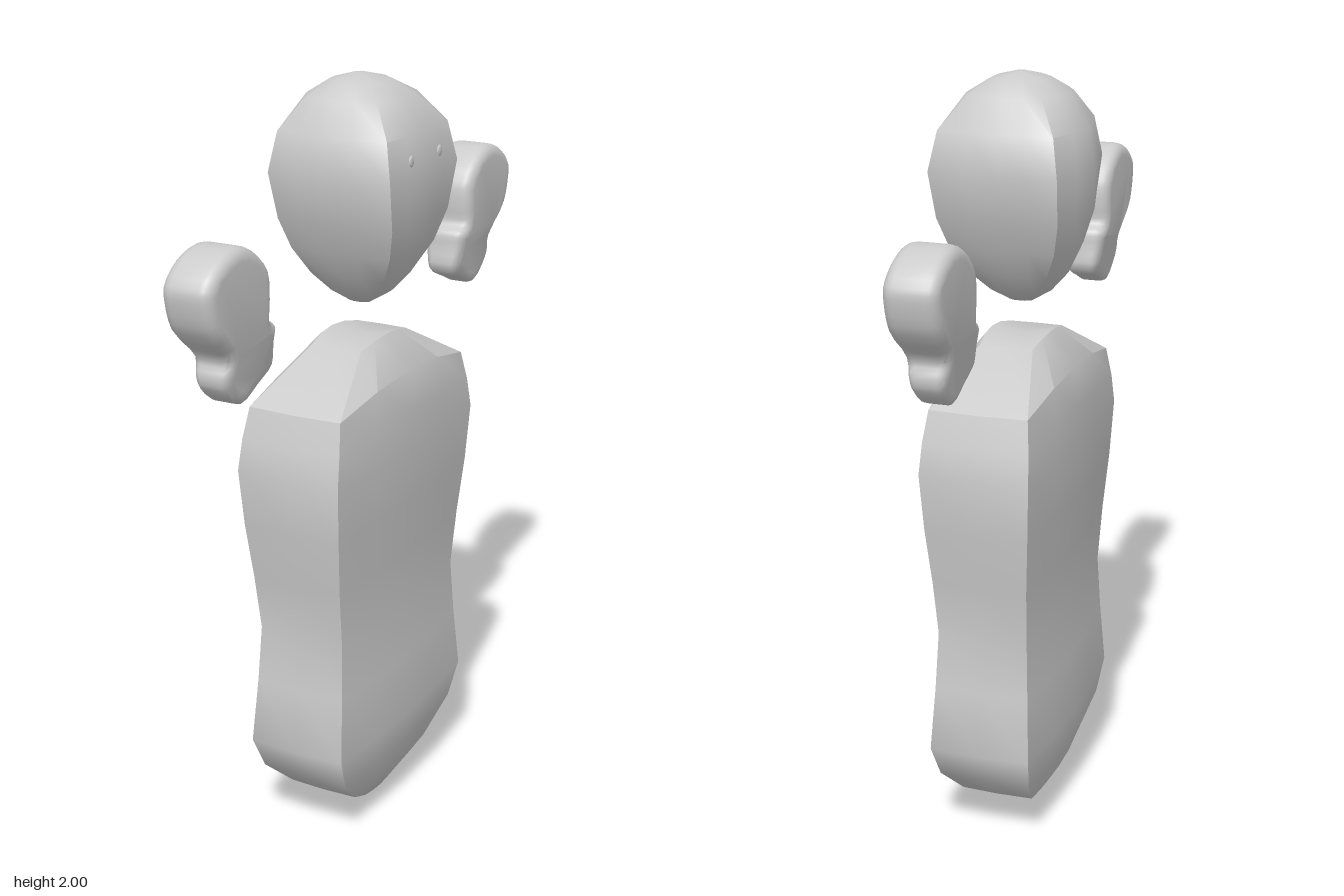
import * as THREE from 'three';
import { toCreasedNormals } from 'three/addons/utils/BufferGeometryUtils.js';

const material = new THREE.MeshStandardMaterial({ color: 0xcccccc });

function addMesh(parent, name, geometry) {
  const mesh = new THREE.Mesh(geometry, material);
  mesh.name = name;
  parent.add(mesh);
  return mesh;
}

// Closed skin through rings listed from bottom to top; each ring is a loop of [x, y, z]
function loft(rings, crease) {
  const n = rings[0].length, pos = rings.flat(2), index = [];
  for (let r = 0; r < rings.length - 1; r++) {
    for (let i = 0; i < n; i++) {
      const j = (i + 1) % n, a = r * n, b = a + n;
      index.push(a + i, a + j, b + i, a + j, b + j, b + i);
    }
  }
  // caps
  for (const [ring, top] of [[0, false], [rings.length - 1, true]]) {
    const centre = pos.length / 3, s = ring * n;
    for (let k = 0; k < 3; k++) pos.push(rings[ring].reduce((t, p) => t + p[k], 0) / n);
    for (let i = 0; i < n; i++) {
      const j = (i + 1) % n;
      if (top) index.push(s + i, s + j, centre);
      else index.push(s + j, s + i, centre);
    }
  }
  const g = new THREE.BufferGeometry();
  g.setAttribute('position', new THREE.Float32BufferAttribute(pos, 3));
  g.setIndex(index);
  return toCreasedNormals(g, crease);
}

// Torso section: two broad, slightly bowed faces joined by narrow ends
function torsoRing([y, hx, hz, lift = 0]) {
  const steps = [1, 0.5, 0, -0.5, -1];
  const bow = (t) => hx * (1 - 0.12 * t * t);
  const rise = (t) => y + lift * (1 - t * t);
  return [
    ...steps.map((t) => [bow(t), rise(t), t * hz]),
    [0, y, -hz * 1.02],
    ...steps.map((t) => [-bow(t), rise(t), -t * hz]),
    [0, y, hz * 1.02],
  ];
}

// Head section: rounded square, corner factor c runs from round to boxy
function headRing([y, hx, hz, c]) {
  const at = (x, z) => [x * hx, y, z * hz];
  const front = 0.95 * c, back = 0.8 * c;
  return [
    at(front, 0.9 * c), at(0.99, 0.45), at(1, 0), at(0.99, -0.45),
    at(front, -0.9 * c), at(0.45, -0.98), at(0, -1), at(-0.4, -0.98),
    at(-back, -0.94 * c), at(-0.92, -0.48), at(-1, 0), at(-0.92, 0.48),
    at(-back, 0.94 * c), at(-0.4, 0.98), at(0, 1), at(0.45, 0.98),
  ];
}

// Mitten outline as [z, y]
const HAND = [
  [0.78, 1.64], [0.724, 1.69], [0.645, 1.71], [0.58, 1.69], [0.517, 1.63],
  [0.51, 1.56], [0.512, 1.51], [0.485, 1.492], [0.48, 1.45], [0.475, 1.385],
  [0.54, 1.35], [0.61, 1.325], [0.682, 1.375], [0.69, 1.41], [0.68, 1.445],
  [0.755, 1.525], [0.78, 1.595],
];

function handGeometry(side) {
  const pts = HAND.map(([z, y]) => new THREE.Vector3(z * side, y, 0));
  const outline = new THREE.CatmullRomCurve3(pts, true).getPoints(51).slice(0, -1);
  const shape = new THREE.Shape(outline.map((p) => new THREE.Vector2(p.x, p.y)));
  const bevel = 0.03;
  const g = new THREE.ExtrudeGeometry(shape, {
    depth: 0.135 - 2 * bevel, bevelThickness: bevel, bevelSize: bevel,
    bevelOffset: -bevel, bevelSegments: 4, steps: 1,
  });
  g.translate(0, 0, -0.0675 + bevel);
  g.rotateY(-Math.PI / 2);
  // thin the wrist
  const p = g.attributes.position;
  for (let i = 0; i < p.count; i++) {
    const t = THREE.MathUtils.smoothstep(p.getY(i), 1.36, 1.53);
    p.setX(i, p.getX(i) * (0.65 + 0.35 * t) - 0.008);
  }
  return toCreasedNormals(g, 0.8);
}

export function createModel() {
  const model = new THREE.Group();
  model.name = 'figure';

  // torso: [y, half width x, half width z, rise towards the middle]
  const torso = [
    [0.005, 0.02, 0.025], [0.03, 0.065, 0.07], [0.1, 0.11, 0.2], [0.19, 0.14, 0.3],
    [0.28, 0.153, 0.34], [0.45, 0.143, 0.32], [0.6, 0.136, 0.308], [0.75, 0.143, 0.33],
    [0.9, 0.155, 0.353], [1.05, 0.163, 0.368], [1.13, 0.158, 0.352, 0.02],
    [1.21, 0.147, 0.33, 0.045], [1.325, 0.08, 0.12, 0.018],
  ];
  addMesh(model, 'torso', loft(torso.map(torsoRing), 0.6));

  // head: [y, half width x, half width z, corner factor]
  const head = [
    [1.42, 0.03, 0.015, 0.8], [1.45, 0.08, 0.055, 0.88], [1.5, 0.125, 0.095, 0.94],
    [1.57, 0.158, 0.132, 1], [1.65, 0.182, 0.166, 1], [1.77, 0.192, 0.199, 1],
    [1.87, 0.175, 0.182, 0.98], [1.95, 0.125, 0.13, 0.88], [1.985, 0.07, 0.075, 0.8],
    [2.0, 0.015, 0.015, 0.75],
  ];
  addMesh(model, 'head', loft(head.map(headRing), 0.75));

  // eyes and hands, mirrored across z
  for (const side of [1, -1]) {
    const name = side > 0 ? 'left' : 'right';
    const eye = addMesh(model, name + 'Eye', new THREE.SphereGeometry(0.015, 12, 8));
    eye.scale.set(0.3, 1, 0.8);
    eye.position.set(0.184, 1.81, 0.075 * side);
    addMesh(model, name + 'Hand', handGeometry(side));
  }
  return model;
}
